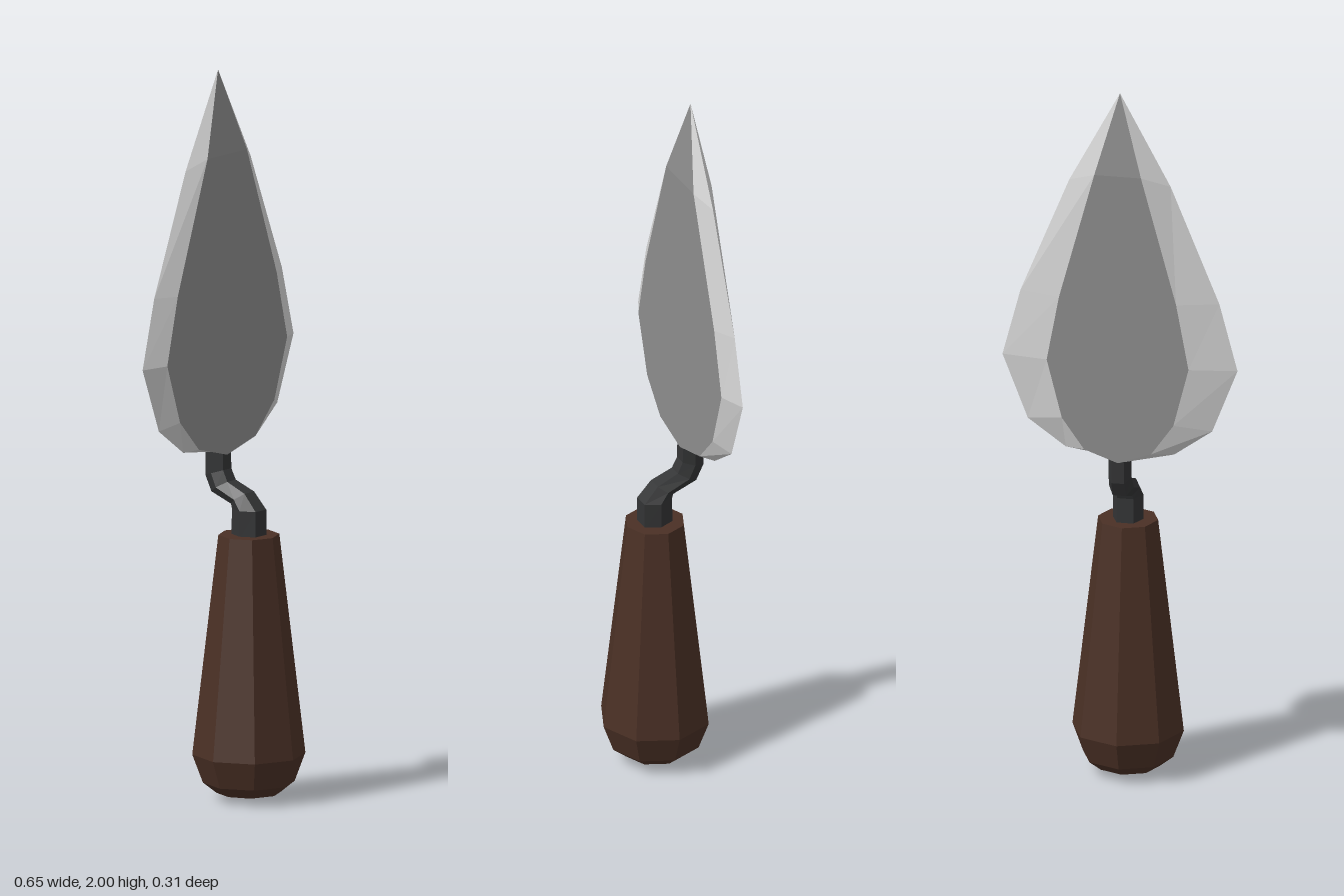
import * as THREE from 'three';

const mat = (name, color) => {
  const m = new THREE.MeshStandardMaterial({ color });
  m.name = name;
  return m;
};

// Six-cornered section from [halfWidth, y, z] of its front, side and back
function hexRing(front, side, back) {
  const p = ([x, y, z], s) => [s * x, y, z];
  return [p(front, -1), p(front, 1), p(side, 1), p(back, 1), p(back, -1), p(side, -1)];
}

// Flat-shaded skin over the chosen columns of a stack of rings, bottom to top
function loft(rings, columns) {
  const pos = [];
  for (let r = 0; r < rings.length - 1; r++) {
    for (const c of columns) {
      const n = (c + 1) % 6;
      const a = rings[r][c], b = rings[r][n], d = rings[r + 1][c], e = rings[r + 1][n];
      pos.push(...a, ...b, ...e, ...a, ...e, ...d);
    }
  }
  const g = new THREE.BufferGeometry();
  g.setAttribute('position', new THREE.Float32BufferAttribute(pos, 3));
  g.computeVertexNormals();
  return g;
}

export function createModel() {
  const group = new THREE.Group();
  group.name = 'trowel';
  const wood = mat('dark wood', 0x4a3025);
  const iron = mat('black iron', 0x333435);
  const steel = mat('steel', 0x8c8c8c);
  const ground = mat('bright ground steel', 0xd2d2d2);
  const add = (name, geometry, material) => {
    const mesh = new THREE.Mesh(geometry, material);
    mesh.name = name;
    group.add(mesh);
  };

  // Eight-sided tapered handle
  const profile = [[0, 0], [0.088, 0.018], [0.125, 0.047], [0.154, 0.125], [0.083, 0.73], [0, 0.73]];
  const handle = new THREE.LatheGeometry(profile.map(([x, y]) => new THREE.Vector2(x, y)), 8).toNonIndexed();
  handle.computeVertexNormals();
  add('handle', handle, wood);

  // Cranked shank: half-width, front [z, y], back [z, y]
  const shank = [
    [0.042, [0.042, 0.72], [-0.042, 0.72]],
    [0.042, [0.042, 0.80], [-0.04, 0.80]],
    [0.038, [0.002, 0.845], [-0.045, 0.812]],
    [0.034, [-0.06, 0.87], [-0.115, 0.837]],
    [0.032, [-0.075, 0.9], [-0.137, 0.88]],
    [0.032, [-0.076, 0.96], [-0.137, 0.96]],
  ].map(([w, f, b]) => hexRing(
    [w * 0.55, f[1], f[0]],
    [w, (f[1] + b[1]) / 2, (f[0] + b[0]) / 2],
    [w * 0.55, b[1], b[0]]));
  add('shank', loft(shank, [0, 1, 2, 3, 4, 5]), iron);

  // Leaf blade: rim x, rim y, front face x, face y; the back face is narrower
  const Z = -0.107, T = 0.032;
  const blade = [
    [0, 0.945, 0, 0.94],
    [0.15, 0.965, 0.122, 0.973],
    [0.255, 1.04, 0.203, 1.06],
    [0.325, 1.22, 0.258, 1.225],
    [0.275, 1.41, 0.213, 1.41],
    [0.14, 1.74, 0.085, 1.77],
  ].map(([rx, ry, fx, fy]) => hexRing([fx, fy, Z + T], [rx, ry, Z], [fx * 0.76, fy, Z - T]));
  const tip = [0, 2, Z];
  blade.push(hexRing(tip, tip, tip));
  add('bladeFaces', loft(blade, [0, 3]), steel);
  add('bladeBevels', loft(blade, [1, 2, 4, 5]), ground);

  return group;
}
